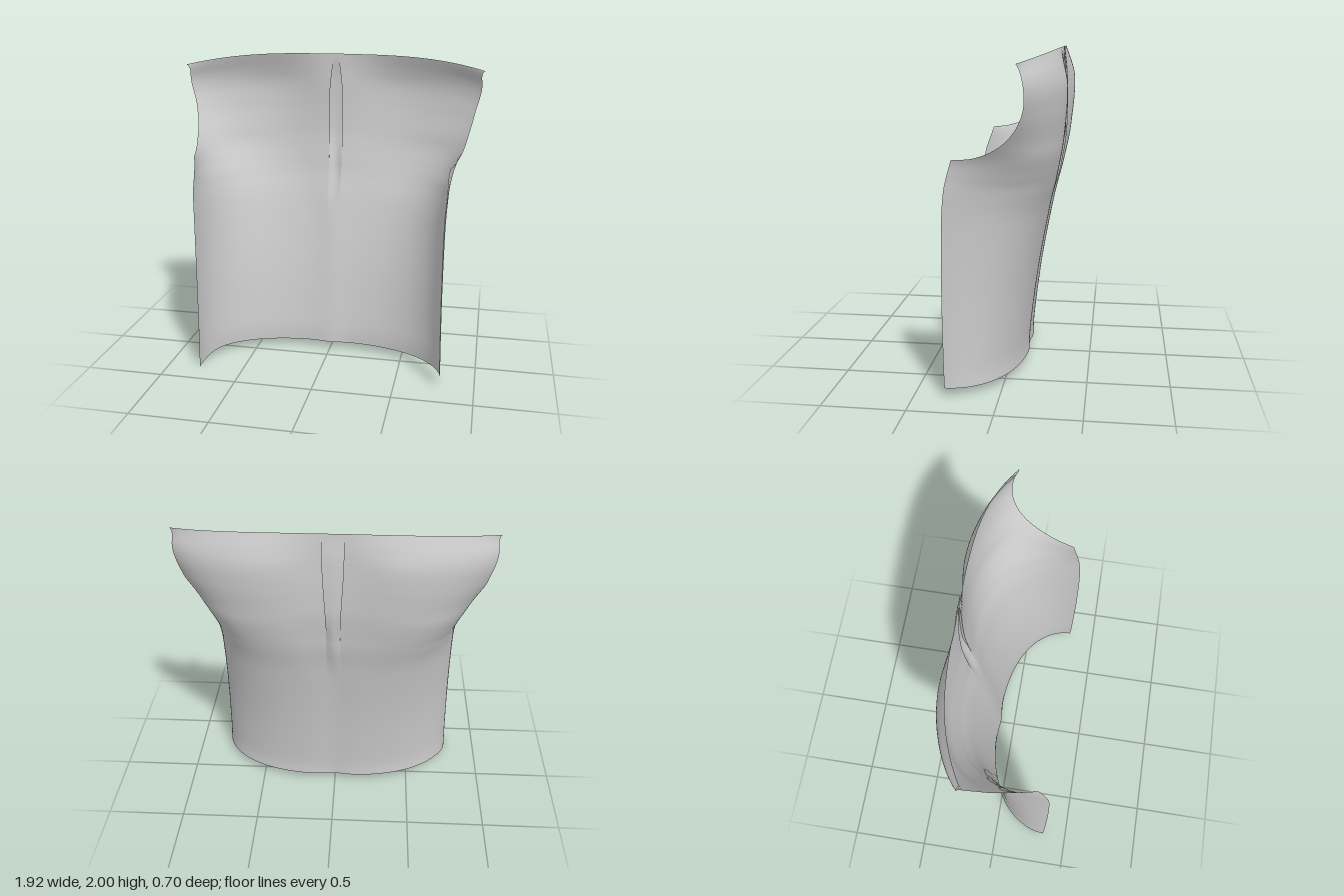
import * as THREE from 'three';
import { toCreasedNormals } from 'three/addons/utils/BufferGeometryUtils.js';

// Level cross-sections from hem to neckline:
// y, half width, side z, back z, curve power p, curve power q, centre dip, side bulge
const ROWS = [
  [0.05, 0.79, 0.32, -0.113, 2.5, 0.5, 0.015, 0],
  [0.2, 0.785, 0.325, -0.118, 2.5, 0.5, 0.01, 0],
  [0.6, 0.78, 0.33, -0.167, 2.8, 0.5, 0.01, 0],
  [1.0, 0.78, 0.325, -0.238, 3.5, 0.5, 0.015, 0.005],
  [1.2, 0.785, 0.31, -0.287, 4.3, 0.5, 0.02, 0.015],
  [1.3, 0.785, 0.29, -0.311, 4.7, 0.5, 0.03, 0.04],
  [1.4, 0.795, 0.26, -0.335, 4.7, 0.5, 0.04, 0.07],
  [1.5, 0.85, 0.23, -0.355, 4, 0.5, 0.05, 0.07],
  [1.66, 0.96, 0.14, -0.378, 3.2, 0.5, 0.07, 0.04],
  [1.8, 1.0, 0.03, -0.383, 2.8, 0.55, 0.078, 0.03],
  [1.9, 1.0, -0.06, -0.35, 3, 0.7, 0.045, 0.015],
  [2.0, 0.96, -0.12, -0.302, 3.4, 1, 0, 0],
];
const NV = 110;
const NU = 48;
const { smoothstep, clamp, lerp } = THREE.MathUtils;

// Smooth interpolation of the cross-section values, t from 0 to 1
function section(t) {
  const f = t * (ROWS.length - 1);
  const i = Math.min(Math.floor(f + 1e-9), ROWS.length - 2);
  const k = f - i;
  const row = (n) => ROWS[clamp(n, 0, ROWS.length - 1)];
  return ROWS[i].map((b, j) => {
    const a = row(i - 1)[j], c = row(i + 1)[j], d = row(i + 2)[j];
    return b + 0.5 * k * (c - a + k * (2 * a - 5 * b + 4 * c - d + k * (3 * (b - c) + d - a)));
  });
}

// The shoulders sit lower than the centre of the neckline
const shoulderDrop = (y) => 0.07 * smoothstep(y, 1.4, 1.95);

// Where the armhole cuts a cross-section, as a fraction of its curve
function armholeCut([y, , ze, zb, p, q]) {
  const edgeY = y - shoulderDrop(y);
  if (edgeY <= 1.4) return 1;
  const r = Math.min(1, (edgeY - 1.4) / 0.34);
  const rise = 0.04 * (Math.max(0, edgeY - 1.74) / 0.19) ** 2;
  const cutZ = 0.26 - 0.42 * Math.sqrt(1 - (1 - r) ** 2) + rise;
  const h = clamp((ze - cutZ) / (ze - zb), 0, 1);
  return (1 - h ** (1 / q)) ** (1 / p);
}

// Point of the cloth; u is 0 at the centre and 1 at the uncut side
function clothPoint(side, t, u) {
  const [y, xe, edgeZ, zb, p, q, dip, bulge] = section(t);
  const ze = edgeZ + (side < 0 ? 0.02 * smoothstep(1.4 - y, 0, 0.3) : 0);
  const x = xe * u + bulge * 3.5 * u ** 4 * Math.sqrt(Math.max(0, 1 - u * u));
  const corner = side < 0 ? 0.05 * u ** 24 * (1 - smoothstep(t, 0, 0.06)) : 0;
  const groove = dip * Math.exp(-((x / lerp(0.1, 0.3, smoothstep(y, 0.9, 1.6))) ** 2));
  const z = ze - (ze - zb) * Math.max(0, 1 - u ** p) ** q + groove;
  return [side * x, y - shoulderDrop(y) * u ** 3 - corner, z];
}

// Half width of the pleat opening on the inner face
const openingHalf = (y) => 0.042 * Math.sqrt(clamp((2 - y) / 0.25, 0, 1));

// Grid surface from a point function of column and row
function gridGeometry(cols, rows, point) {
  const pos = [], index = [];
  for (let j = 0; j <= rows; j++) {
    for (let i = 0; i <= cols; i++) {
      pos.push(...point(i, j));
      if (i < cols && j < rows) {
        const a = j * (cols + 1) + i, b = a + cols + 1;
        index.push(a, a + 1, b + 1, a, b + 1, b);
      }
    }
  }
  const geo = new THREE.BufferGeometry();
  geo.setAttribute('position', new THREE.Float32BufferAttribute(pos, 3));
  geo.setIndex(index);
  geo.computeVertexNormals();
  return geo;
}

// One half of the back, from the pleat fold to the side seam or armhole
function halfPanel(side) {
  return gridGeometry(NU, NV, (i, j) => {
    const t = j / NV;
    const s = section(t);
    const cut = armholeCut(s);
    const start = Math.asin(openingHalf(s[0]) / s[1] / cut);
    return clothPoint(side, t, cut * Math.sin(lerp(start, Math.PI / 2, i / NU)));
  });
}

// Box pleat: folds outward behind the opening, fading into a soft ridge
function pleatStrip() {
  const across = [-1, -2, -1.5, -0.7, 0, 0.7, 1.5, 2, 1];
  return gridGeometry(across.length - 1, NV, (i, j) => {
    const t = j / NV;
    const s = section(t);
    const y = s[0];
    const back = lerp(0.042, 0.065, smoothstep(y, 1.3, 1.9));
    const depth = 0.024 * smoothstep(y, 0.9, 1.42) * (1 - 0.7 * smoothstep(y, 1.8, 2));
    const edge = Math.abs(across[i]) === 1;
    const w = edge ? openingHalf(y) : back * Math.abs(across[i]) / 2;
    const side = Math.sign(across[i]) || 1;
    const pt = clothPoint(side, t, w / s[1]);
    const fold = lerp(1 - (w / 0.042) ** 2, 1, smoothstep(y, 1.25, 1.5));
    if (!edge) pt[2] -= depth * Math.max(0, fold) * (1 - 0.15 * Math.abs(across[i]));
    return pt;
  });
}

export function createModel() {
  const group = new THREE.Group();
  group.name = 'garmentBack';
  const cloth = new THREE.MeshStandardMaterial({ color: 0xcccccc, side: THREE.DoubleSide });
  const add = (name, geo) => {
    const mesh = new THREE.Mesh(geo, cloth);
    mesh.name = name;
    group.add(mesh);
  };
  add('leftBackPanel', halfPanel(1));
  add('rightBackPanel', halfPanel(-1));
  add('centrePleat', toCreasedNormals(pleatStrip(), 0.8));
  return group;
}
